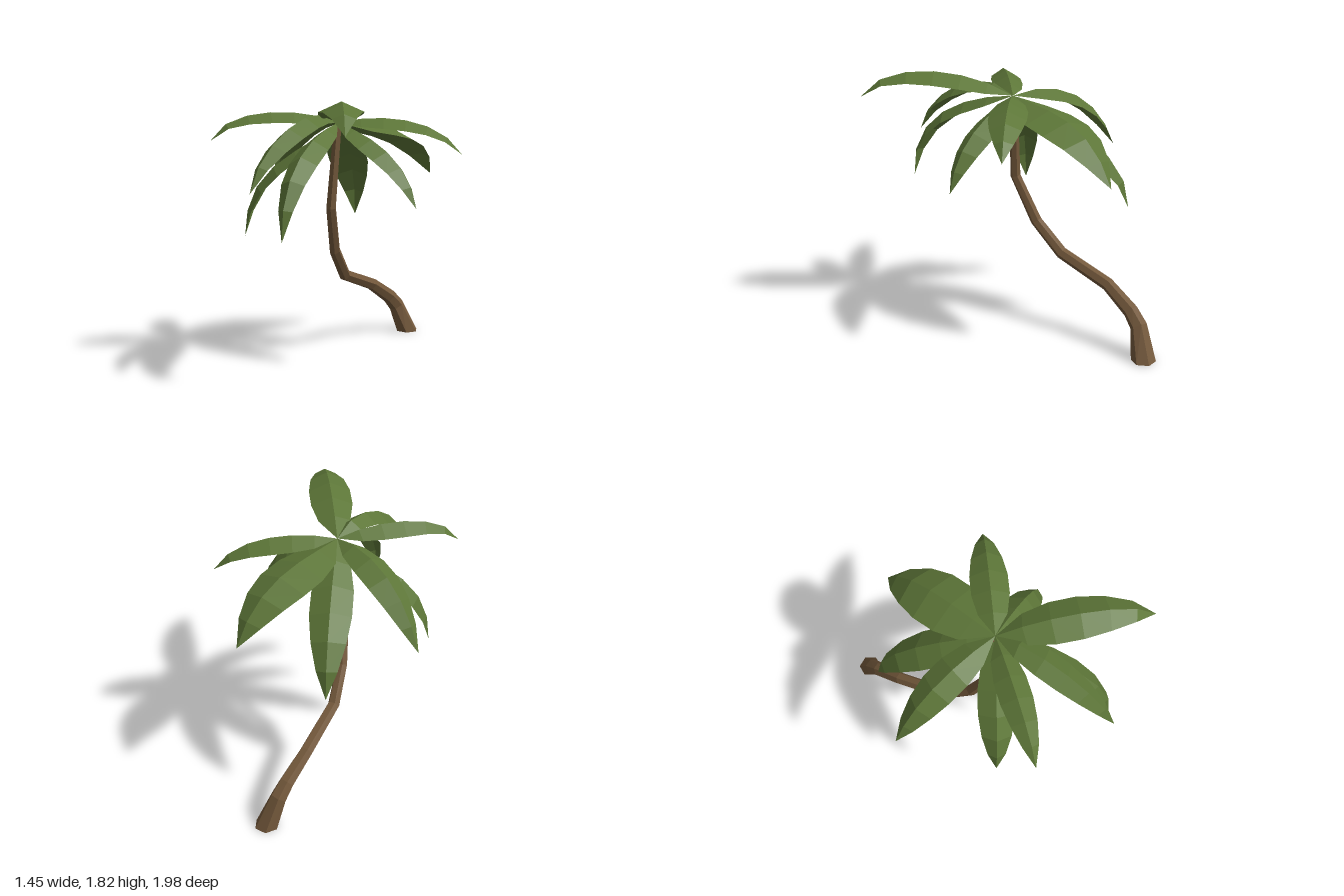
import * as THREE from 'three';

// Joins cross-section rows of equal length into a surface.
function loft(rows, closed) {
  const n = rows[0].length, idx = [];
  for (let k = 0; k < rows.length - 1; k++) {
    for (let i = 0; i < (closed ? n : n - 1); i++) {
      const a = k * n + i, b = k * n + (i + 1) % n;
      idx.push(a, b, b + n, a, b + n, a + n);
    }
  }
  const g = new THREE.BufferGeometry().setFromPoints(rows.flat());
  g.setIndex(idx);
  const flat = g.toNonIndexed();
  flat.computeVertexNormals();
  return flat;
}

// Trunk rings: x, y, z, radius
const TRUNK = [
  [-0.05, 0, -0.92, 0.083], [-0.1, 0.21, -0.84, 0.058], [-0.115, 0.29, -0.765, 0.052],
  [-0.135, 0.42, -0.56, 0.045], [-0.11, 0.56, -0.185, 0.042], [-0.06, 0.77, 0, 0.039],
  [0.005, 1.09, 0.13, 0.035], [0.045, 1.64, 0.11, 0.028],
];

function trunkGeometry() {
  const centres = TRUNK.map(([x, y, z]) => new THREE.Vector3(x, y, z));
  const last = centres.length - 1;
  const rows = centres.map((c, k) => {
    // the first and last rings lie flat, the others bisect the bend
    const t = new THREE.Vector3(0, 1, 0);
    if (k > 0 && k < last) {
      const before = c.clone().sub(centres[k - 1]).normalize();
      t.copy(centres[k + 1]).sub(c).normalize().add(before).normalize();
    }
    const u = new THREE.Vector3(1, 0, 0).addScaledVector(t, -t.x).normalize();
    const v = t.clone().cross(u);
    return Array.from({ length: 6 }, (_, i) => {
      const a = i * Math.PI / 3, r = TRUNK[k][3];
      return c.clone().addScaledVector(u, r * Math.cos(a)).addScaledVector(v, r * Math.sin(a));
    });
  });
  // close both ends
  rows.unshift(rows[0].map(() => centres[0]));
  rows.push(rows[rows.length - 1].map(() => centres[last]));
  return loft(rows, true);
}

const CROWN = new THREE.Vector3(0.05, 1.66, 0.11);

// Fronds, relative to the crown: tip x, y, z, half width,
// then two curve handles as distance outward and height
const FRONDS = [
  [0.63, -0.01, 0.79, 0.145, 0.34, 0.215, 0.87, 0.23],
  [0.16, -0.67, 0.79, 0.1, 0.375, -0.04, 0.825, -0.21],
  [-0.01, -0.38, 0.88, 0.1, 0.26, 0.2, 0.81, -0.1],
  [-0.58, -0.11, 0.61, 0.105, 0.235, 0.105, 0.74, 0.12],
  [-0.54, -0.77, 0.33, 0.12, 0.24, -0.21, 0.63, -0.26],
  [-0.78, -0.46, -0.28, 0.125, 0.28, 0.07, 0.66, -0.02],
  [-0.36, -0.73, -0.7, 0.14, 0.28, -0.08, 0.8, -0.35],
  [0.16, -0.41, -0.91, 0.2, 0.32, -0.03, 0.73, 0],
  [0.67, -0.21, -0.47, 0.125, 0.27, 0.065, 0.67, 0.04],
  [0.62, -0.52, 0.01, 0.11, 0.24, -0.07, 0.55, -0.18],
];

// Folded leaf: a raised midrib with both edges dropped below it
function frondGeometry([x, y, z, half, r1, y1, r2, y2]) {
  const reach = Math.hypot(x, z);
  const out = new THREE.Vector3(x / reach, 0, z / reach);
  const side = new THREE.Vector3(-out.z, 0, out.x);
  const midrib = new THREE.CubicBezierCurve(
    new THREE.Vector2(0, 0), new THREE.Vector2(r1, y1),
    new THREE.Vector2(r2, y2), new THREE.Vector2(reach, y));
  const steps = 6, rows = [];
  for (let k = 0; k <= steps; k++) {
    const s = k / steps;
    const p = midrib.getPointAt(s), t = midrib.getTangentAt(s);
    // leaf outline: widest before the middle, pointed at both ends
    const w = Math.pow(Math.max(0, Math.sin(Math.PI * Math.pow(s, 0.8))), 0.8);
    const point = (across, drop) => CROWN.clone()
      .addScaledVector(out, p.x + t.y * drop)
      .addScaledVector(side, across)
      .add(new THREE.Vector3(0, p.y - t.x * drop, 0));
    rows.push([point(-half * w, 0.065 * w), point(0, 0), point(half * w, 0.065 * w)]);
  }
  return loft(rows, false);
}

export function createModel() {
  const bark = new THREE.MeshStandardMaterial({ color: 0x73583b, flatShading: true });
  bark.name = 'barkBrown';
  const leaf = new THREE.MeshStandardMaterial({ color: 0x5d7638, flatShading: true, side: THREE.DoubleSide });
  leaf.name = 'leafGreen';

  const palm = new THREE.Group();
  palm.name = 'palmTree';

  const trunk = new THREE.Mesh(trunkGeometry(), bark);
  trunk.name = 'trunk';
  palm.add(trunk);

  const crown = new THREE.Group();
  crown.name = 'crown';
  FRONDS.forEach((spec, i) => {
    const frond = new THREE.Mesh(frondGeometry(spec), leaf);
    frond.name = `frond${i + 1}`;
    crown.add(frond);
  });
  palm.add(crown);
  return palm;
}
